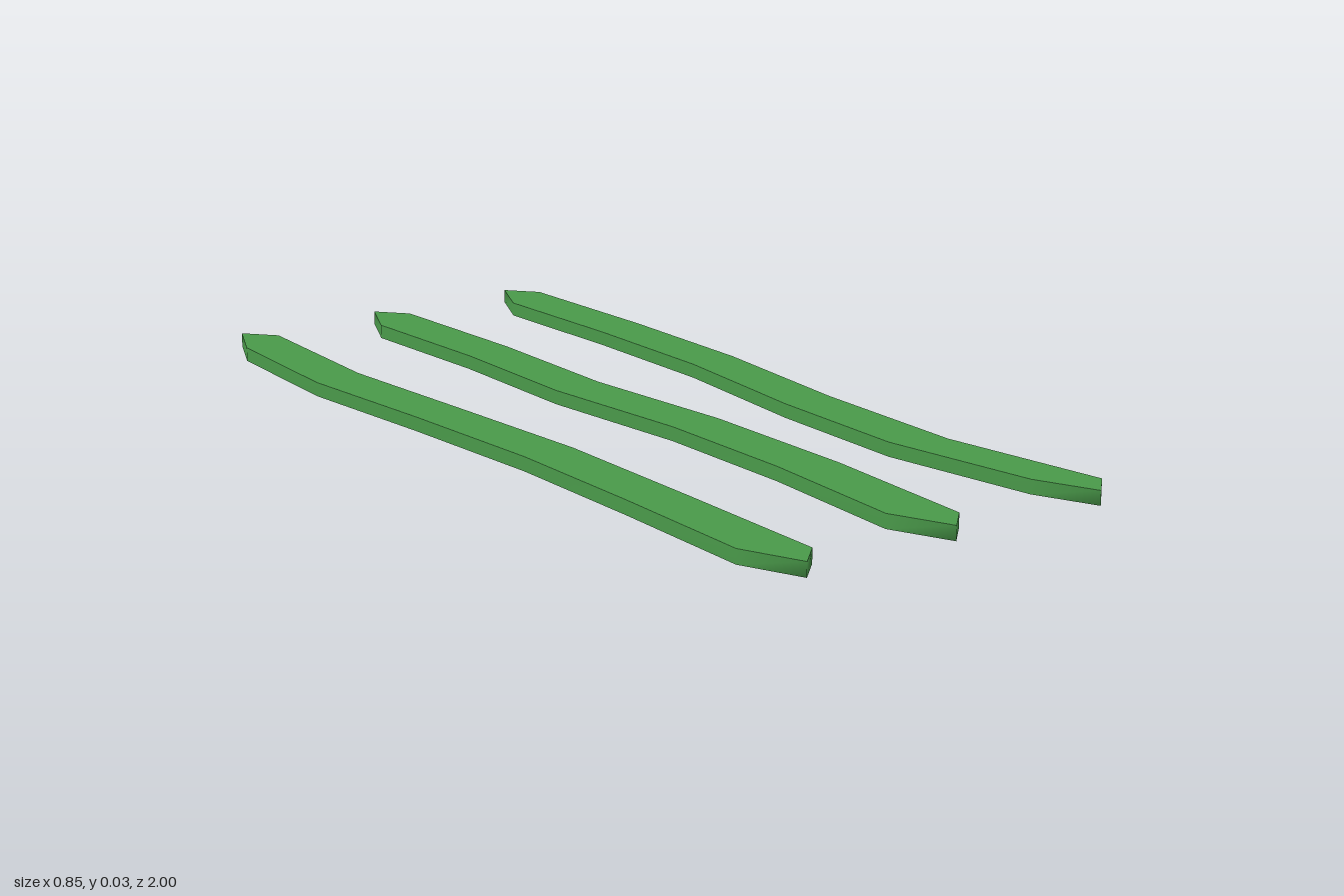
import * as THREE from 'three';
import { mergeGeometries } from 'three/addons/utils/BufferGeometryUtils.js';

const HEIGHT = 0.03;

// Stations along each strip, from back to front
const LEFT_Z = [-0.88, -0.535, -0.185, 0.18, 0.52, 0.87];
const RIGHT_Z = [-0.935, -0.55, -0.19, 0.185, 0.57, 0.945];

// Sideways position of both edges at those stations, and of the pointed tips
const STRIPS = [
  { name: 'rightStrip', tip: -0.348,
    left: [-0.403, -0.428, -0.402, -0.384, -0.39, -0.403],
    right: [-0.291, -0.317, -0.294, -0.272, -0.28, -0.291] },
  { name: 'middleStrip', tip: 0,
    left: [-0.056, -0.045, -0.056, -0.025, -0.029, -0.056],
    right: [0.056, 0.067, 0.056, 0.087, 0.084, 0.056] },
  { name: 'leftStrip', tip: 0.362,
    left: [0.306, 0.313, 0.306, 0.266, 0.253, 0.306],
    right: [0.418, 0.425, 0.417, 0.378, 0.364, 0.418] },
];

// Outline as [x, z], counter-clockwise seen from above
function outline({ tip, left, right }) {
  return [
    [tip, 1],
    ...right.map((x, i) => [x, RIGHT_Z[i]]).reverse(),
    [tip, -1],
    ...left.map((x, i) => [x, LEFT_Z[i]]),
  ];
}

// Flat lid; sign 1 faces up, -1 faces down
function cap(points, sign) {
  const shape = new THREE.Shape(points.map(([x, z]) => new THREE.Vector2(x, -sign * z)));
  const geometry = new THREE.ShapeGeometry(shape).rotateX(-sign * Math.PI / 2);
  return geometry.translate(0, sign > 0 ? HEIGHT : 0, 0);
}

// Side wall with normals smoothed around the outline
function wall(points) {
  const positions = [], uvs = [], indices = [];
  const n = points.length;
  points.forEach(([x, z], i) => {
    positions.push(x, 0, z, x, HEIGHT, z);
    uvs.push(i / n, 0, i / n, 1);
    const a = 2 * i, b = 2 * ((i + 1) % n);
    indices.push(a, b, b + 1, a, b + 1, a + 1);
  });
  const geometry = new THREE.BufferGeometry();
  geometry.setAttribute('position', new THREE.Float32BufferAttribute(positions, 3));
  geometry.setAttribute('uv', new THREE.Float32BufferAttribute(uvs, 2));
  geometry.setIndex(indices);
  geometry.computeVertexNormals();
  return geometry;
}

export function createModel() {
  const group = new THREE.Group();
  group.name = 'wavyStrips';
  const green = new THREE.MeshStandardMaterial({ color: 0x4a9a4a });
  for (const strip of STRIPS) {
    const points = outline(strip);
    const mesh = new THREE.Mesh(mergeGeometries([cap(points, 1), cap(points, -1), wall(points)]), green);
    mesh.name = strip.name;
    group.add(mesh);
  }
  return group;
}
